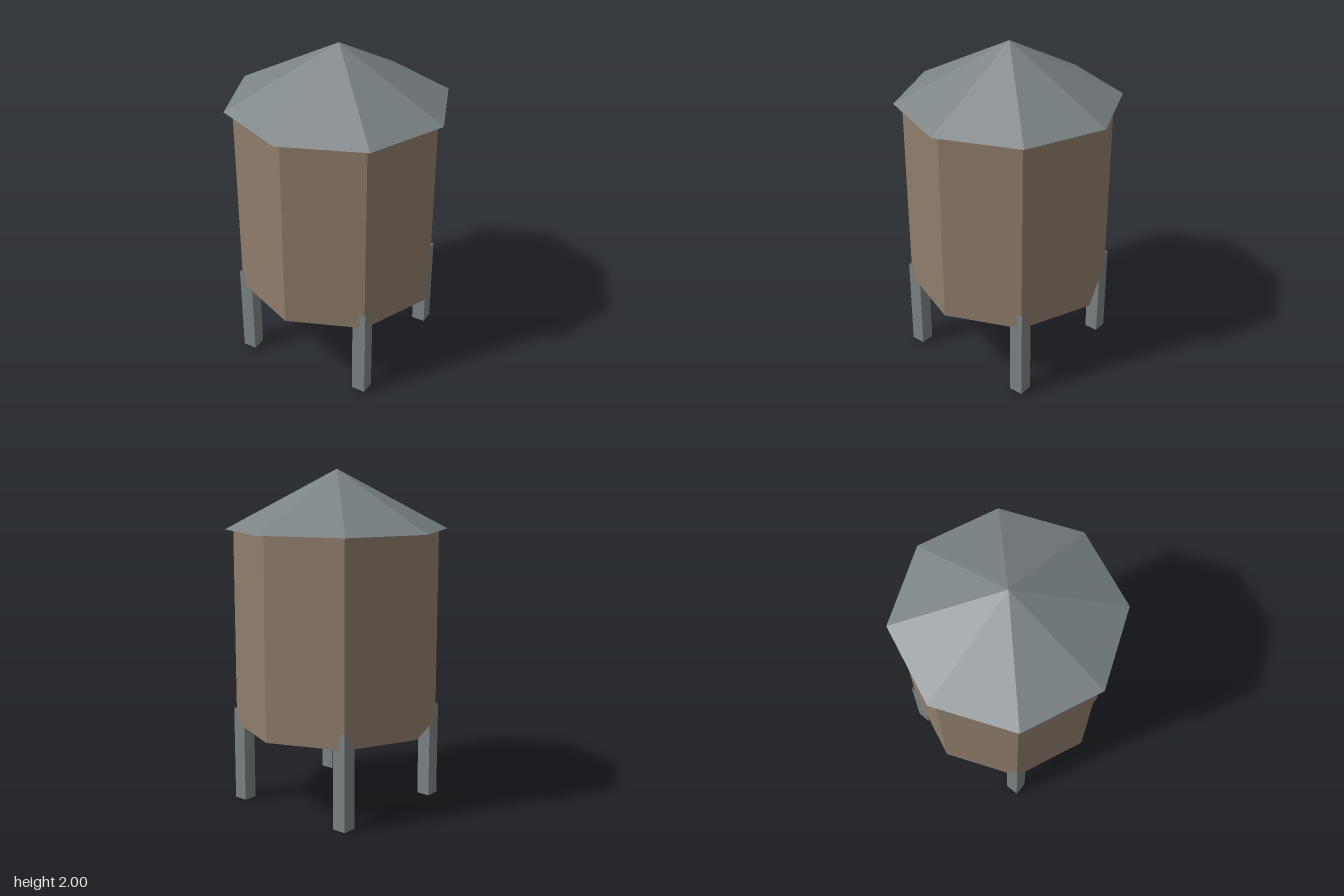
import * as THREE from 'three';

const material = (name, color) => {
  const m = new THREE.MeshStandardMaterial({ color, flatShading: true, side: THREE.DoubleSide });
  m.name = name;
  return m;
};

export function createModel() {
  const wood = material('brown wood', 0x8f7d6b);
  const metal = material('grey metal', 0x7b8385);
  const group = new THREE.Group();
  group.name = 'waterTower';

  // Open-ended prism or cone standing between two heights
  function addPrism(name, mat, topRadius, bottomRadius, y0, y1, sides) {
    const geometry = new THREE.CylinderGeometry(topRadius, bottomRadius, y1 - y0, sides, 1, true);
    const mesh = new THREE.Mesh(geometry, mat);
    mesh.name = name;
    mesh.position.y = (y0 + y1) / 2;
    group.add(mesh);
    return mesh;
  }

  // Octagonal tank, open underneath, and its conical roof
  addPrism('tank', wood, 0.61, 0.61, 0.475, 1.653, 8);
  addPrism('roof', metal, 0, 0.66, 1.65, 2, 8);

  // Four hollow square legs under the diagonal corners
  for (const x of [-0.4, 0.4]) {
    for (const z of [-0.4, 0.4]) {
      const radius = 0.0425 * Math.SQRT2;
      const leg = addPrism('leg', metal, radius, radius, 0, 0.57, 4);
      leg.rotation.y = Math.PI / 4;
      leg.position.x = x;
      leg.position.z = z;
    }
  }
  return group;
}
